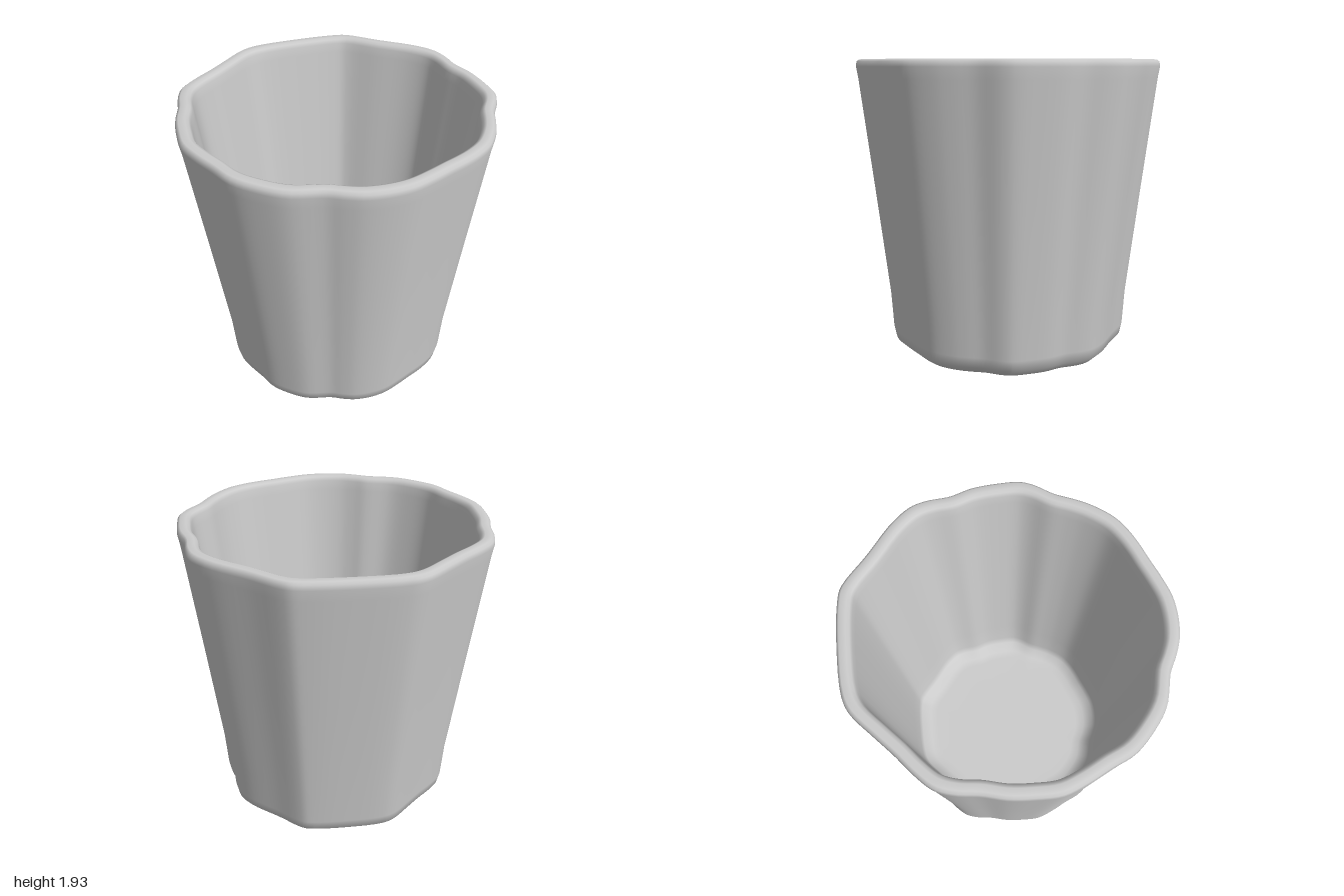
import * as THREE from 'three';

// Wavy rim outline as x, z pairs, running from +x towards +z
const OUTLINE = [
  0.99, 0.0, 0.975, 0.09, 0.92, 0.22, 0.89, 0.35, 0.855, 0.46, 0.78, 0.60, 0.69, 0.69,
  0.60, 0.755, 0.51, 0.81, 0.40, 0.88, 0.27, 0.95, 0.13, 0.985, 0.0, 0.99, -0.10, 0.97,
  -0.20, 0.94, -0.40, 0.92, -0.56, 0.845, -0.69, 0.75, -0.78, 0.625, -0.875, 0.50,
  -0.95, 0.375, -0.98, 0.23, -0.995, 0.08, -0.985, -0.07, -0.99, -0.21, -0.97, -0.32,
  -0.90, -0.43, -0.795, -0.555, -0.70, -0.68, -0.58, -0.83, -0.485, -0.89, -0.20, -0.96,
  0.08, -1.0, 0.18, -0.995, 0.40, -0.875, 0.64, -0.75, 0.76, -0.65, 0.81, -0.555,
  0.85, -0.42, 0.92, -0.29, 0.965, -0.14,
];

// Cross-section as [outline scale, height]: underside, outer wall, rim, inner wall, floor
const PROFILE = [
  [0, 0], [0.5, 0], [0.70, 0], [0.73, 0.005], [0.785, 0.055], [0.80, 0.125], [0.815, 0.36],
  [0.90, 1.10], [0.985, 1.82], [0.997, 1.89], [0.992, 1.92], [0.975, 1.933],
  [0.935, 1.935], [0.915, 1.925], [0.903, 1.90], [0.897, 1.84],
  [0.81, 1.10], [0.725, 0.37], [0.705, 0.19], [0.685, 0.13], [0.62, 0.095], [0.56, 0.09],
  [0.3, 0.09], [0, 0.09],
];

// Sweeps the cross-section around the smoothed outline
function wavyLathe(outline, profile, segments) {
  const knots = [];
  for (let i = 0; i < outline.length; i += 2) {
    knots.push(new THREE.Vector3(outline[i], 0, outline[i + 1]));
  }
  const ring = new THREE.CatmullRomCurve3(knots, true).getPoints(segments).slice(0, segments);
  const positions = [];
  const index = [];
  profile.forEach(([scale, y], i) => {
    ring.forEach((p, j) => {
      positions.push(p.x * scale, y, p.z * scale);
      if (i === profile.length - 1) return;
      const next = (j + 1) % segments;
      const a = i * segments + j;
      const b = a + segments;
      const c = i * segments + next;
      const d = c + segments;
      if (scale > 0) index.push(a, b, c);
      if (profile[i + 1][0] > 0) index.push(c, b, d);
    });
  });
  const geometry = new THREE.BufferGeometry();
  geometry.setAttribute('position', new THREE.Float32BufferAttribute(positions, 3));
  geometry.setIndex(index);
  geometry.computeVertexNormals();
  // The hub vertices at both ends face straight down and straight up
  const normals = geometry.attributes.normal;
  for (let j = 0; j < segments; j++) {
    normals.setXYZ(j, 0, -1, 0);
    normals.setXYZ(normals.count - 1 - j, 0, 1, 0);
  }
  return geometry;
}

export function createModel() {
  const group = new THREE.Group();
  group.name = 'wavyCup';
  const lightGrey = new THREE.MeshStandardMaterial({ color: 0xcccccc });
  lightGrey.name = 'lightGrey';

  // Cup body: one closed shell with a hollow inside
  const cup = new THREE.Mesh(wavyLathe(OUTLINE, PROFILE, 160), lightGrey);
  cup.name = 'cupBody';
  group.add(cup);
  return group;
}
